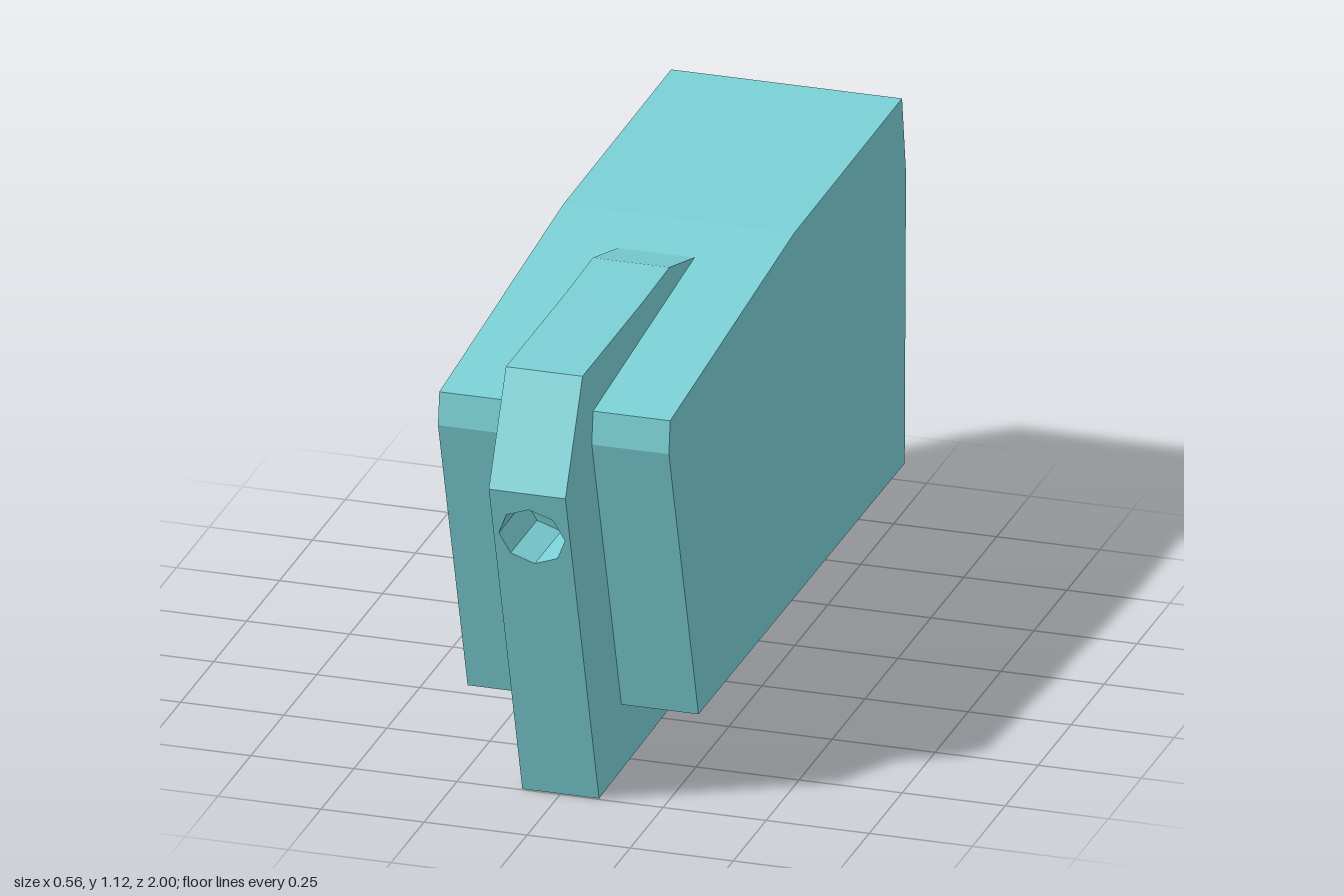
import * as THREE from 'three';

const BODY_W = 0.56, BLADE_W = 0.186;
const TOP = { z: 1, y: 0.86 }, BOTTOM = { z: 0.745, y: 0.003 };
const SLOPE = (TOP.z - BOTTOM.z) / (TOP.y - BOTTOM.y);
const frontZ = (y) => TOP.z + (y - TOP.y) * SLOPE;

// Side profile given as [z, y] points, extruded across x
function sideExtrude(points, width) {
  const shape = new THREE.Shape(points.map(([z, y]) => new THREE.Vector2(z, y)));
  const geo = new THREE.ExtrudeGeometry(shape, { depth: width, bevelEnabled: false });
  geo.translate(0, 0, -width / 2);
  geo.rotateY(-Math.PI / 2);
  return geo;
}

// Shift every vertex in z so the geometry follows the slanted front
function leanToFront(geo) {
  const p = geo.attributes.position;
  for (let i = 0; i < p.count; i++) p.setZ(i, p.getZ(i) + frontZ(p.getY(i)));
  geo.computeVertexNormals();
  return geo;
}

// Remove the triangles lying on the slanted front plane
function openFront(geo) {
  const p = geo.attributes.position, kept = [];
  for (let i = 0; i < p.count; i += 3) {
    const tri = [i, i + 1, i + 2];
    if (tri.every((k) => Math.abs(p.getZ(k) - frontZ(p.getY(k))) < 1e-4)) continue;
    tri.forEach((k) => kept.push(p.getX(k), p.getY(k), p.getZ(k)));
  }
  const out = new THREE.BufferGeometry();
  out.setAttribute('position', new THREE.Float32BufferAttribute(kept, 3));
  out.computeVertexNormals();
  return out;
}

export function createModel() {
  const group = new THREE.Group();
  const color = 0x7ad0d5;
  const solid = new THREE.MeshStandardMaterial({ color, flatShading: true });
  const thin = new THREE.MeshStandardMaterial({ color, flatShading: true, side: THREE.DoubleSide });
  const add = (name, geo, mat) => {
    const mesh = new THREE.Mesh(geo, mat);
    mesh.name = name;
    group.add(mesh);
  };

  // Wide main body
  add('body', sideExtrude([
    [0.575, 0.17], [0.8, 0.915], [0.79, 0.995], [-0.15, 1.083],
    [-0.97, 1.088], [-1, 0.89], [-0.99, 0.163],
  ], BODY_W), solid);

  // Narrow central rib, sunk into the body and open at its front
  add('centerRib', openFront(sideExtrude([
    [BOTTOM.z, BOTTOM.y], [TOP.z, TOP.y], [0.87, 1.115], [0.4, 1.115], [0.21, 1.12],
    [0.02, 1.067], [0, 0.9], [-0.45, 0.25], [-0.53, 0.165], [-0.37, 0.022],
  ], BLADE_W)), solid);

  // Slanted front plate with an octagonal hole
  const holeY = 0.738, rx = 0.08, ry = 0.0767, depth = 0.2;
  const ring = [];
  for (let i = 0; i < 8; i++) {
    const a = (i * Math.PI) / 4;
    ring.push(new THREE.Vector2(Math.cos(a) * rx, holeY + Math.sin(a) * ry));
  }
  const w = BLADE_W / 2;
  const plate = new THREE.Shape([
    new THREE.Vector2(-w, BOTTOM.y), new THREE.Vector2(w, BOTTOM.y),
    new THREE.Vector2(w, TOP.y), new THREE.Vector2(-w, TOP.y),
  ]);
  plate.holes.push(new THREE.Path(ring));
  add('ribFront', leanToFront(new THREE.ShapeGeometry(plate)), thin);

  // Recess walls and floor
  const walls = new THREE.CylinderGeometry(1, 1, depth, 8, 1, true);
  walls.rotateX(Math.PI / 2).rotateZ(Math.PI / 2).scale(rx, ry, 1).translate(0, holeY, -depth / 2);
  add('holeWalls', leanToFront(walls), thin);
  const floor = new THREE.ShapeGeometry(new THREE.Shape(ring));
  floor.translate(0, 0, -depth);
  add('holeFloor', leanToFront(floor), thin);

  return group;
}
